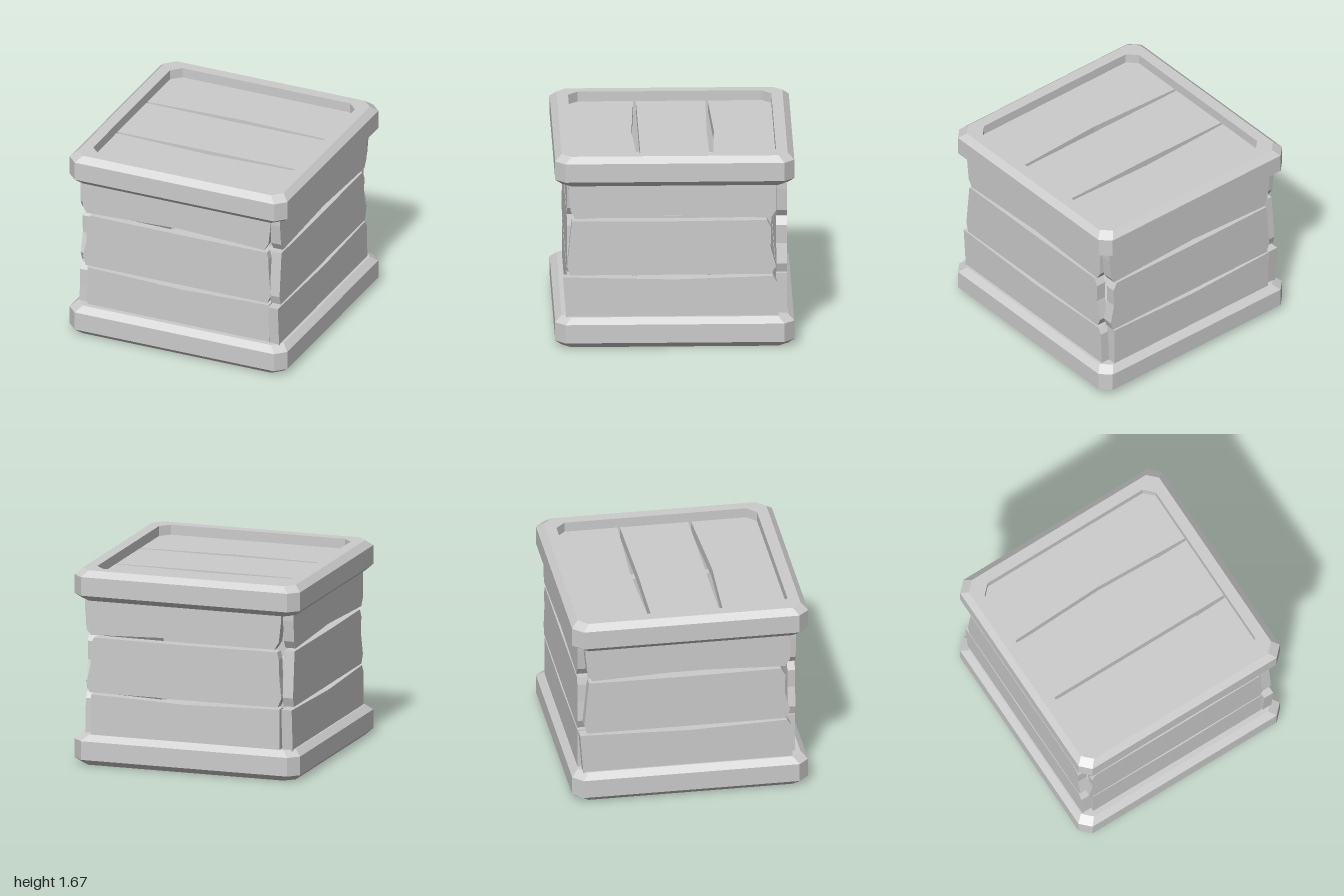
import * as THREE from 'three';

const material = new THREE.MeshStandardMaterial({ color: 0xcccccc, flatShading: true });

function addMesh(parent, geometry, name) {
  const mesh = new THREE.Mesh(geometry, material);
  mesh.name = name;
  parent.add(mesh);
  return mesh;
}

// Board cut from an outline and given a thickness
function board(points, depth) {
  const shape = new THREE.Shape(points.map(([x, y]) => new THREE.Vector2(x, y)));
  return new THREE.ExtrudeGeometry(shape, { depth, bevelEnabled: false });
}

// Square rim with cut corners: a bevelled section swept round an octagon
function rimGeometry() {
  // half width, corner start, height
  const section = [
    [0.85, 0.77, 0], [0.945, 0.865, 0], [1, 0.915, 0.05],
    [1, 0.915, 0.21], [0.945, 0.865, 0.26], [0.85, 0.77, 0.26],
  ];
  const positions = [], index = [];
  for (const [s, c, y] of section) {
    for (const [x, z] of [[s, -c], [s, c], [c, s], [-c, s], [-s, c], [-s, -c], [-c, -s], [c, -s]]) {
      positions.push(x, y, z);
    }
  }
  const n = section.length;
  for (let i = 0; i < n; i++) {
    for (let j = 0; j < 8; j++) {
      const k = (i + 1) % n, m = (j + 1) % 8;
      const a = i * 8 + j, b = k * 8 + j, c = k * 8 + m, d = i * 8 + m;
      index.push(a, b, c, a, c, d);
    }
  }
  const g = new THREE.BufferGeometry();
  g.setAttribute('position', new THREE.Float32BufferAttribute(positions, 3));
  g.setIndex(index);
  const flat = g.toNonIndexed();
  flat.computeVertexNormals();
  return flat;
}

// Three boards with bowed gaps, closing the lid or the base
function panel(name, topY) {
  const group = new THREE.Group();
  group.name = name;
  const w = 0.87, thickness = 0.09;
  const outlines = [
    [[-w, -w], [w, -w], [w, -0.32], [0, -0.35], [-w, -0.32]],
    [[-w, -0.3], [0, -0.29], [w, -0.3], [w, 0.28], [-w, 0.28]],
    [[-w, 0.303], [0, 0.34], [w, 0.303], [w, w], [-w, w]],
  ];
  for (const outline of outlines) {
    const g = board(outline, thickness);
    g.rotateX(Math.PI / 2);
    addMesh(group, g, name + 'Board').position.y = topY;
  }
  return group;
}

// Wall plank outlines: worn ends, listed bottom to top on the right, top to bottom on the left
const frontPlanks = [
  [[-0.845, 0.16], [0.825, 0.16], [0.825, 0.605], [0, 0.58], [-0.845, 0.605]],
  [[-0.86, 0.622], [0.81, 0.622], [0.842, 0.7], [0.825, 0.87], [0.82, 1.03], [0.805, 1.095],
    [0, 1.09], [-0.82, 1.095], [-0.855, 1.03], [-0.85, 0.87], [-0.885, 0.7]],
  [[-0.85, 1.115], [0, 1.147], [0.78, 1.115], [0.82, 1.18], [0.84, 1.36], [0.845, 1.51],
    [-0.9, 1.51], [-0.9, 1.36], [-0.885, 1.17]],
];
const sidePlanks = [
  [[-0.9, 0.16], [0.87, 0.16], [0.86, 0.4], [0.855, 0.55], [0.82, 0.605], [0, 0.58], [-0.935, 0.605]],
  [[-0.875, 0.622], [0.81, 0.622], [0.845, 0.7], [0.8, 0.87], [0.805, 1.03], [0.77, 1.095],
    [0, 1.09], [-0.86, 1.095], [-0.875, 0.95], [-0.9, 0.7]],
  [[-0.83, 1.115], [0, 1.147], [0.805, 1.115], [0.845, 1.18], [0.845, 1.51],
    [-0.89, 1.51], [-0.89, 1.36], [-0.87, 1.18]],
];

function wall(name, outlines, angle, inner, outer) {
  const group = new THREE.Group();
  group.name = name;
  group.rotation.y = angle;
  for (const outline of outlines) {
    addMesh(group, board(outline, outer - inner), name + 'Plank').position.z = inner;
  }
  return group;
}

export function createModel() {
  const crate = new THREE.Group();
  crate.name = 'crate';

  // Lower and upper rims
  const rim = rimGeometry();
  addMesh(crate, rim, 'lowerRim');
  addMesh(crate, rim, 'upperRim').position.y = 1.41;

  // Recessed lid and base
  crate.add(panel('lid', 1.585), panel('base', 0.175));

  // Four plank walls, opposite walls turned half round
  crate.add(
    wall('frontWall', frontPlanks, 0, 0.835, 0.9),
    wall('rightWall', sidePlanks, Math.PI / 2, 0.833, 0.922),
    wall('backWall', frontPlanks, Math.PI, 0.85, 0.94),
    wall('leftWall', sidePlanks, -Math.PI / 2, 0.84, 0.932),
  );
  return crate;
}
